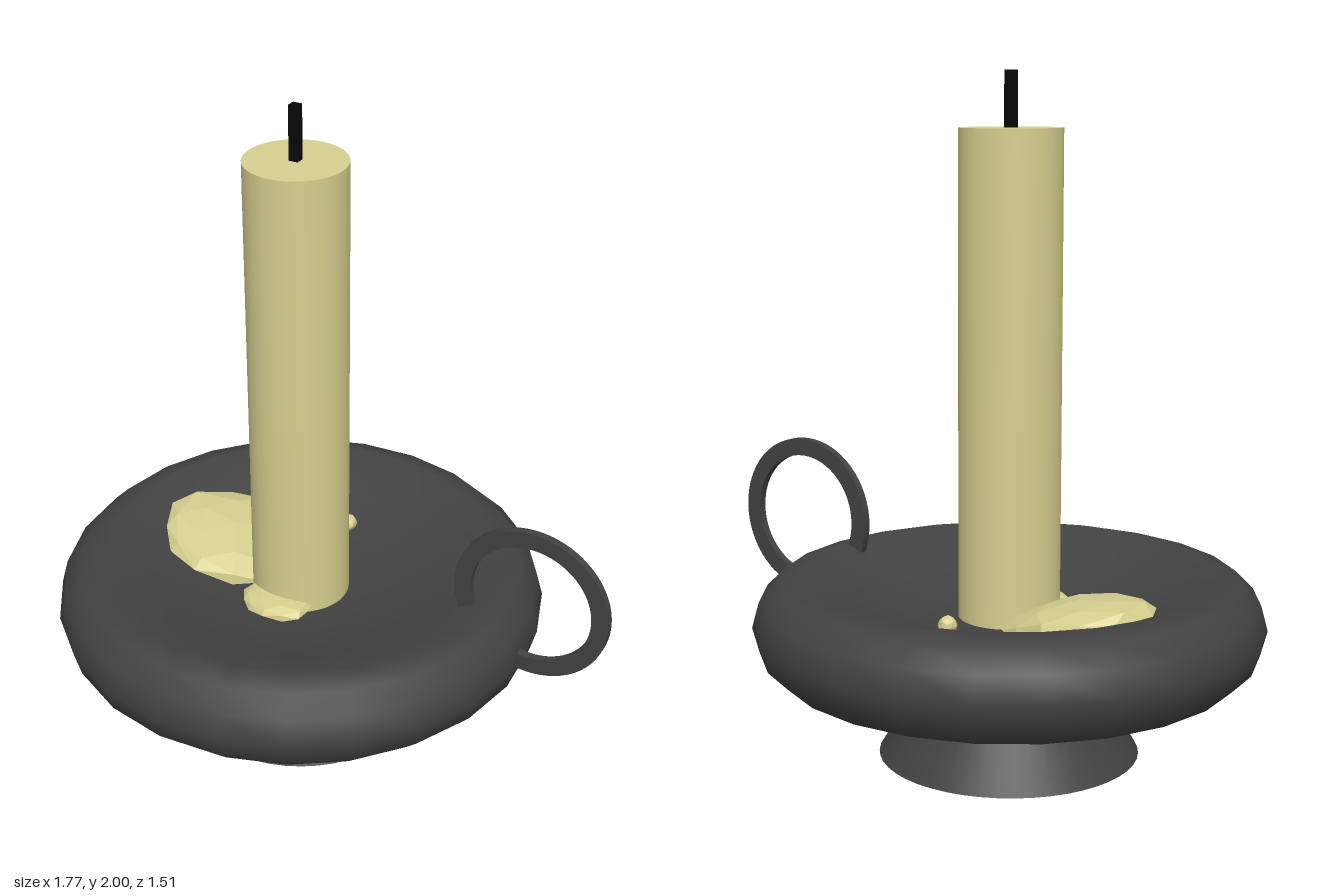
import * as THREE from 'three';

const AXIS_X = -0.133; // candle and dish axis

export function createModel() {
  const group = new THREE.Group();
  const iron = new THREE.MeshStandardMaterial({ color: 0x424242 });
  const wax = new THREE.MeshStandardMaterial({ color: 0xd6d08f });
  const waxFlat = new THREE.MeshStandardMaterial({ color: 0xd6d08f, flatShading: true });
  const black = new THREE.MeshStandardMaterial({ color: 0x080808 });

  function add(name, geometry, material, x, y, z) {
    const mesh = new THREE.Mesh(geometry, material);
    mesh.name = name;
    mesh.position.set(x, y, z);
    group.add(mesh);
    return mesh;
  }

  // Flared foot, narrowing up to the underside of the dish
  add('foot', new THREE.CylinderGeometry(0.15, 0.387, 0.4, 48), iron, AXIS_X, 0.2, 0);

  // Dish: rounded rim with a sunken centre above and below
  const inner = [[0, 0.01], [0.15, 0.015], [0.3, 0.037], [0.45, 0.082]];
  const profile = inner.map(([r, y]) => new THREE.Vector2(r, -y));
  for (let i = 0; i <= 6; i++) {
    const a = -Math.PI / 2 + (i * Math.PI) / 6;
    profile.push(new THREE.Vector2(0.606 + 0.15 * Math.cos(a), 0.15 * Math.sin(a)));
  }
  inner.slice().reverse().forEach(([r, y]) => profile.push(new THREE.Vector2(r, y)));
  add('dish', new THREE.LatheGeometry(profile, 24, -0.05), iron, AXIS_X, 0.4, 0);

  // Candle and square wick
  add('candle', new THREE.CylinderGeometry(0.15, 0.15, 1.44, 48), wax, AXIS_X, 1.12, 0);
  add('wick', new THREE.BoxGeometry(0.028, 0.2, 0.028), black, AXIS_X, 1.9, 0);

  // Flat finger ring through the rim
  const ring = new THREE.Shape().absarc(0, 0, 0.245, 0, Math.PI * 2, false);
  ring.holes.push(new THREE.Path().absarc(0, 0, 0.192, 0, Math.PI * 2, true));
  const ringGeometry = new THREE.ExtrudeGeometry(ring, {
    depth: 0.024, bevelEnabled: false, curveSegments: 32,
  });
  add('ringHandle', ringGeometry, iron, 0.64, 0.615, -0.027);

  // Faceted lumps of spilled wax, slightly uneven
  function lump(name, [sx, sy, sz], [x, y, z], tilt = 0) {
    const geometry = new THREE.IcosahedronGeometry(1, 1);
    const p = geometry.attributes.position;
    const v = new THREE.Vector3();
    for (let i = 0; i < p.count; i++) {
      v.fromBufferAttribute(p, i);
      v.multiplyScalar(1 + 0.06 * Math.sin(5 * v.x + 3 * v.y + 7 * v.z));
      p.setXYZ(i, v.x * sx, v.y * sy, v.z * sz);
    }
    geometry.computeVertexNormals();
    add(name, geometry, waxFlat, x, y, z).rotation.z = tilt;
  }
  lump('waxPool', [0.225, 0.055, 0.215], [-0.42, 0.468, -0.055], -0.2);
  lump('waxDrip', [0.115, 0.03, 0.085], [-0.135, 0.435, 0.14]);
  lump('waxDrop', [0.028, 0.028, 0.028], [-0.138, 0.462, -0.31]);

  return group;
}
